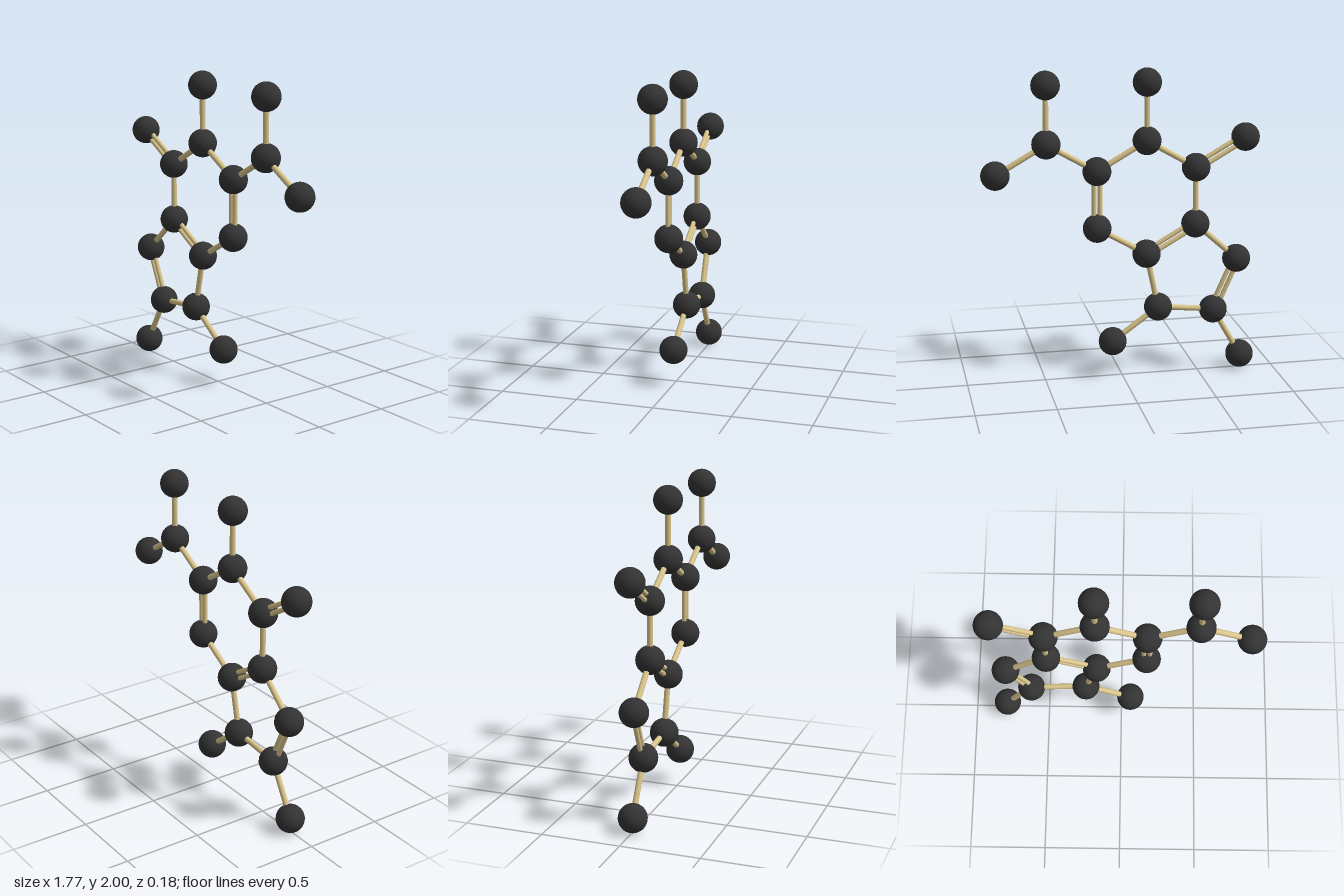
import * as THREE from 'three';

const ATOM_RADIUS = 0.09;

// Atom centres in the plane z = 0
const ATOMS = {
  ketoneTip: [-0.794, 1.543], ringUpperLeft: [-0.476, 1.36], ringTop: [-0.159, 1.543],
  topTip: [-0.159, 1.91], ringUpperRight: [0.159, 1.36], branch: [0.476, 1.543],
  branchTopTip: [0.476, 1.91], branchSideTip: [0.794, 1.36], ringLowerRight: [0.159, 0.993],
  ringBottom: [-0.159, 0.81], ringLowerLeft: [-0.476, 0.993], pentagonLeft: [-0.75, 0.748],
  pentagonBottomLeft: [-0.601, 0.413], pentagonBottomRight: [-0.236, 0.451],
  lowerRightTip: [0.061, 0.236], lowerLeftTip: [-0.784, 0.094],
};

// Bonds: start, end, order
const BONDS = [
  ['ketoneTip', 'ringUpperLeft', 2], ['ringUpperLeft', 'ringTop', 1], ['ringTop', 'topTip', 1],
  ['ringTop', 'ringUpperRight', 1], ['ringUpperRight', 'branch', 1], ['branch', 'branchTopTip', 1],
  ['branch', 'branchSideTip', 1], ['ringUpperRight', 'ringLowerRight', 2],
  ['ringLowerRight', 'ringBottom', 1], ['ringBottom', 'ringLowerLeft', 2],
  ['ringLowerLeft', 'ringUpperLeft', 1], ['ringLowerLeft', 'pentagonLeft', 1],
  ['pentagonLeft', 'pentagonBottomLeft', 2], ['pentagonBottomLeft', 'pentagonBottomRight', 1],
  ['pentagonBottomRight', 'ringBottom', 1], ['pentagonBottomRight', 'lowerRightTip', 1],
  ['pentagonBottomLeft', 'lowerLeftTip', 1],
];

export function createModel() {
  const model = new THREE.Group();
  model.name = 'molecule';
  const atomMaterial = new THREE.MeshStandardMaterial({ color: 0x333333 });
  const bondMaterial = new THREE.MeshStandardMaterial({ color: 0xd9c48a });

  // Atoms
  const ball = new THREE.SphereGeometry(ATOM_RADIUS, 32, 24);
  for (const [name, [x, y]] of Object.entries(ATOMS)) {
    const atom = new THREE.Mesh(ball, atomMaterial);
    atom.name = `${name}Atom`;
    atom.position.set(x, y, 0);
    model.add(atom);
  }

  // Bonds: one rod, or two thinner rods side by side in the plane
  for (const [from, to, order] of BONDS) {
    const a = new THREE.Vector2(...ATOMS[from]);
    const b = new THREE.Vector2(...ATOMS[to]);
    const along = b.clone().sub(a);
    const bond = new THREE.Group();
    bond.name = order === 2 ? 'doubleBond' : 'singleBond';
    bond.position.set((a.x + b.x) / 2, (a.y + b.y) / 2, 0);
    bond.rotation.z = along.angle() - Math.PI / 2;
    const radius = order === 2 ? 0.015 : 0.018;
    const rod = new THREE.CylinderGeometry(radius, radius, along.length(), 16);
    for (const offset of order === 2 ? [-0.019, 0.019] : [0]) {
      const mesh = new THREE.Mesh(rod, bondMaterial);
      mesh.name = 'bondRod';
      mesh.position.x = offset;
      bond.add(mesh);
    }
    model.add(bond);
  }
  return model;
}
